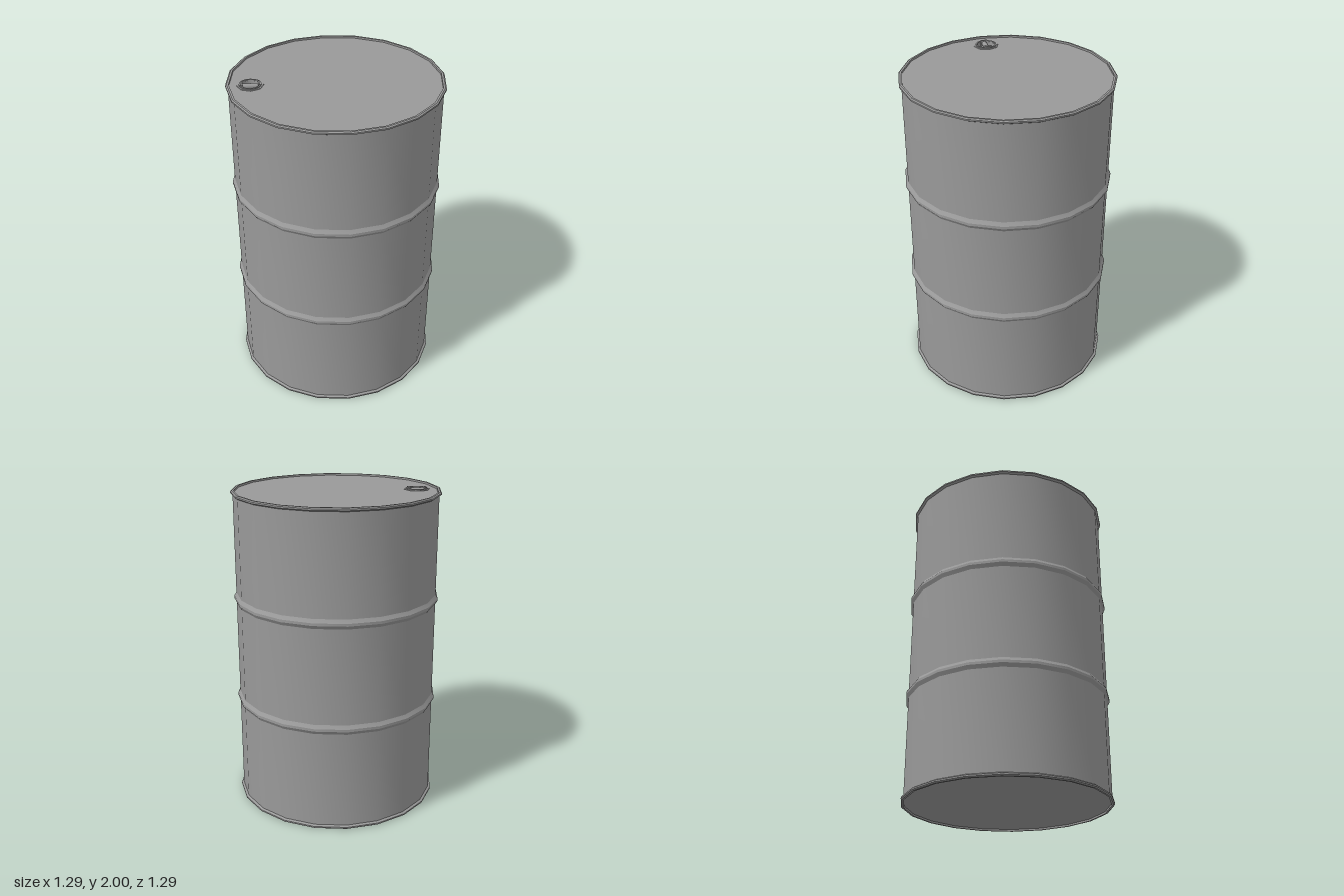
import * as THREE from 'three';
import { toCreasedNormals } from 'three/addons/utils/BufferGeometryUtils.js';

const material = new THREE.MeshStandardMaterial({ color: 0x999999 });

function add(parent, name, geometry, x = 0, y = 0, z = 0) {
  const mesh = new THREE.Mesh(geometry, material);
  mesh.name = name;
  mesh.position.set(x, y, z);
  parent.add(mesh);
  return mesh;
}

// Revolve a profile of [radius, height] pairs, listed from bottom to top on the outside
function lathe(profile, sides) {
  const points = profile.map(([r, y]) => new THREE.Vector2(r, y));
  return toCreasedNormals(new THREE.LatheGeometry(points, sides), 0.45);
}

// Corners of a regular polygon
function ring(radius, sides, cx = 0) {
  return Array.from({ length: sides }, (_, i) => {
    const a = (i / sides) * Math.PI * 2;
    return new THREE.Vector2(cx + radius * Math.cos(a), radius * Math.sin(a));
  });
}

export function createModel() {
  const group = new THREE.Group();
  group.name = 'drum';

  const R = 0.63, lidR = 0.624, lidY = 1.985, bungX = -0.5;

  // Rolled rim, from the wall over the lip and down to the lid
  const rim = [
    [R, 1.974], [0.644, 1.982], [0.644, 1.991], [0.636, 1.997], [lidR, 1.997], [lidR, lidY],
  ];
  const bottomRim = rim.map(([r, y]) => [r, 1.997 - y]).reverse();

  // Rolling hoop bulging out of the wall
  const hoop = (y) => [[R, y - 0.03], [0.644, y - 0.008], [0.644, y + 0.008], [R, y + 0.03]];
  add(group, 'barrelBody', lathe([
    [0, 0.012], ...bottomRim, ...hoop(0.67), ...hoop(1.33), ...rim,
  ], 20));

  // Lid with an opening for the bung
  const lidShape = new THREE.Shape(ring(lidR, 20));
  lidShape.holes.push(new THREE.Path(ring(0.06, 16, bungX)));
  add(group, 'lid', new THREE.ShapeGeometry(lidShape).rotateX(-Math.PI / 2), 0, lidY, 0);

  // Bung near the edge of the lid: flange and sunken cup
  const bung = new THREE.Group();
  bung.name = 'bung';
  bung.position.set(bungX, lidY, 0);
  group.add(bung);

  add(bung, 'bungFlange', lathe([[0.08, 0], [0.079, 0.003], [0.058, 0.003]], 8));
  add(bung, 'bungCup', lathe([
    [0.066, 0], [0.066, 0.009], [0.057, 0.009], [0.056, -0.022], [0, -0.022],
  ], 16));

  // Round grip bar across the cup, with a raised lug at each end
  add(bung, 'bungGrip', new THREE.CylinderGeometry(0.016, 0.016, 0.1, 12).rotateZ(Math.PI / 2), 0, -0.006, 0);
  for (const side of [-1, 1]) {
    add(bung, 'bungLug', new THREE.BoxGeometry(0.012, 0.03, 0.044), side * 0.051, 0, 0);
  }

  return group;
}
